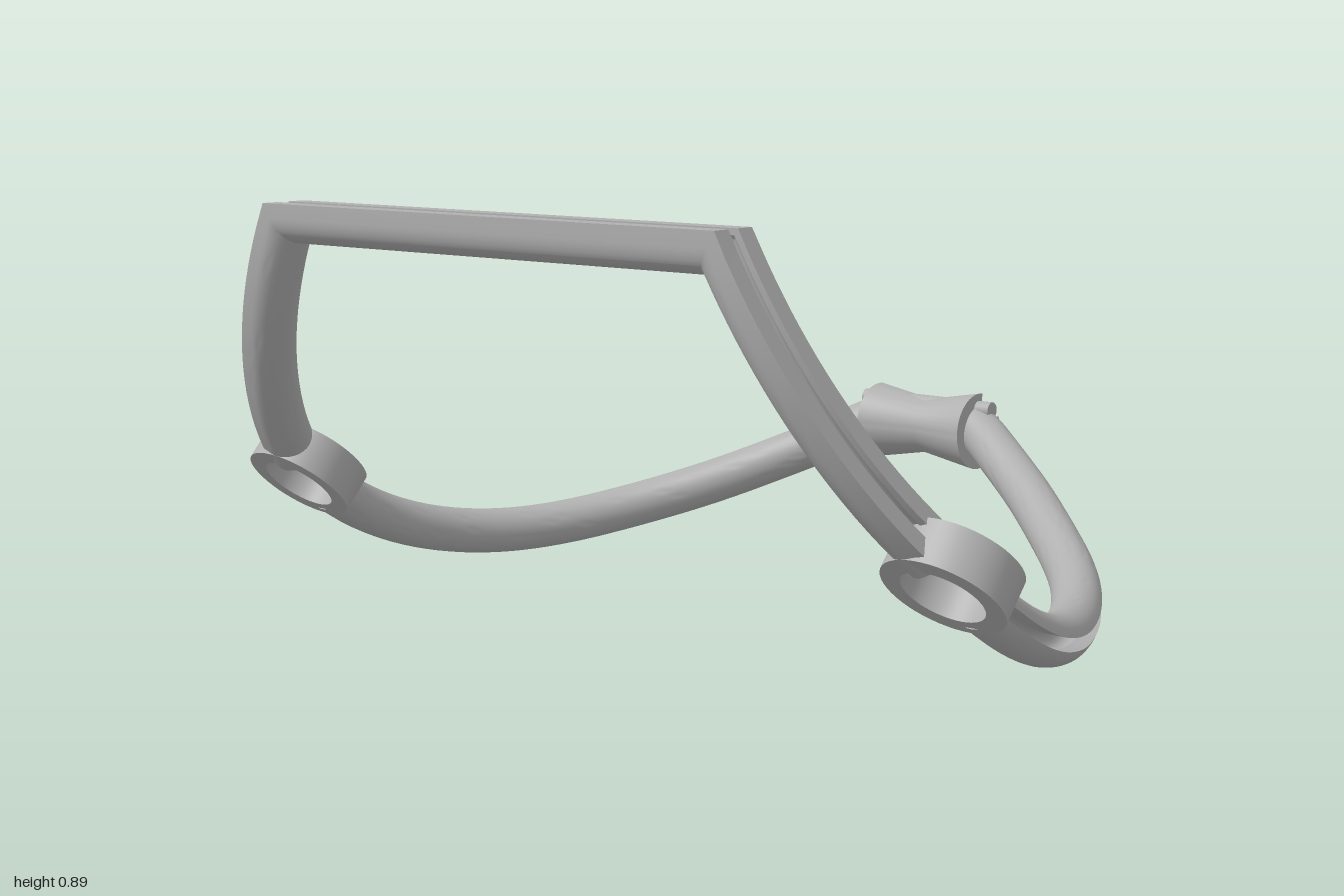
import * as THREE from 'three';
import { toCreasedNormals } from 'three/addons/utils/BufferGeometryUtils.js';

// The whole frame lies on a cylinder around an axis along x.
const R = 0.845, AXIS_Y = 0.9, AXIS_Z = -0.1;
const CREASE = 0.55;

function arc(r, from, to, n) {
  return Array.from({ length: n + 1 }, (_, i) => {
    const a = THREE.MathUtils.degToRad(from + (to - from) * i / n);
    return new THREE.Vector2(r * Math.cos(a), r * Math.sin(a));
  });
}

// Skin between matching cross-sections (3D rings), with end caps cut from the 2D outline.
function loft(sections, outline) {
  const n = outline.length, pos = [], idx = [];
  sections.forEach(s => s.forEach(p => pos.push(p.x, p.y, p.z)));
  for (let i = 0; i < sections.length - 1; i++) {
    for (let j = 0; j < n; j++) {
      const k = (j + 1) % n, a = i * n + j, b = i * n + k;
      idx.push(a, b, b + n, a, b + n, a + n);
    }
  }
  const last = (sections.length - 1) * n;
  for (const [a, b, c] of THREE.ShapeUtils.triangulateShape(outline, [])) {
    idx.push(a, c, b, last + a, last + b, last + c);
  }
  const g = new THREE.BufferGeometry();
  g.setAttribute('position', new THREE.Float32BufferAttribute(pos, 3));
  g.setIndex(idx);
  return toCreasedNormals(g, CREASE);
}

// Channels with a keyhole slot; +y of the outline points out of the loop.
const W = 0.053, LIP = 0.03, SLOT = 0.0135;
const keyhole = arc(0.022, 52, -232, 12);
// Round-backed with square lips, for the front
const squareChannel = [
  ...arc(W, 180, 360, 18),
  new THREE.Vector2(W, LIP),
  new THREE.Vector2(SLOT, LIP),
  ...keyhole,
  new THREE.Vector2(-SLOT, LIP),
  new THREE.Vector2(-W, LIP),
];
// Fully round, for the rear
const roundChannel = [...arc(W, 105, 435, 32), ...keyhole];

// Sweep a channel along a path of (x, angle) points, mitring the corners.
// twist(m, angle) turns the slot away from the cylinder surface.
function sweepChannel(path, channel, twist) {
  const flat = path.map(([x, t]) => new THREE.Vector2(x, R * t));
  const sections = path.map(([x, t], i) => {
    const dir = k => flat[k + 1].clone().sub(flat[k]).normalize();
    const d0 = dir(Math.max(i - 1, 0));
    const d1 = dir(Math.min(i, path.length - 2));
    const m = d0.clone().add(d1).normalize();
    const stretch = 1 / m.dot(d0);
    const c = Math.cos(t), s = Math.sin(t);
    const out = new THREE.Vector3(m.y, -m.x * s, -m.x * c).multiplyScalar(stretch);
    const normal = new THREE.Vector3(0, -c, s);
    const centre = new THREE.Vector3(x, AXIS_Y - R * c, AXIS_Z + R * s);
    const w = twist(m, t), cw = Math.cos(w), sw = Math.sin(w);
    return channel.map(p => centre.clone()
      .addScaledVector(normal, p.x * cw + p.y * sw)
      .addScaledVector(out, p.y * cw - p.x * sw));
  });
  return loft(sections, channel);
}

const mirrored = path => path.map(([x, t]) => [-x, t]).reverse();

export function createModel() {
  const group = new THREE.Group();
  const grey = new THREE.MeshStandardMaterial({ color: 0xb0b0b0 });
  grey.name = 'grey';
  const add = (name, geometry) => {
    const mesh = new THREE.Mesh(geometry, grey);
    mesh.name = name;
    group.add(mesh);
    return mesh;
  };

  // Front bar with its two sloping arms; the slot faces straight out sideways
  const arm = [];
  for (let i = 0; i <= 20; i++) {
    const y = 0.318 + (0.865 - 0.318) * i / 20;
    arm.push([0.58 + (0.865 - y) * 0.517, Math.acos((AXIS_Y - y) / R)]);
  }
  add('frontBar', sweepChannel([...arm, ...mirrored(arm)], squareChannel,
    (m, t) => Math.atan(m.x / Math.tan(t))));

  // Rear arcs from the clasp to the side rings, laid out as seen from above (x, z)
  const plan = new THREE.SplineCurve([
    [0.1, -0.727], [0.2, -0.685], [0.4, -0.56], [0.6, -0.385], [0.72, -0.22],
    [0.81, -0.02], [0.865, 0.17], [0.885, 0.3], [0.885, 0.39],
  ].map(([x, z]) => new THREE.Vector2(x, z)));
  const rear = plan.getSpacedPoints(48).map(p => [p.x, Math.asin((p.y - AXIS_Z) / R)]);
  const rearTwist = m => 0.5 * m.x * m.x;
  add('leftRearArc', sweepChannel(rear, roundChannel, rearTwist));
  add('rightRearArc', sweepChannel(mirrored(rear), roundChannel, rearTwist));

  // Side rings, lying in the curved surface
  const tilt = THREE.MathUtils.degToRad(42);
  const h = 0.045, ro = 0.1225, ri = 0.083;
  const ringProfile = [[ri, -h], [ro, -h], [ro, h], [ri, h], [ri, -h]]
    .map(([r, y]) => new THREE.Vector2(r, y));
  const ringGeometry = toCreasedNormals(new THREE.LatheGeometry(ringProfile, 48), CREASE);
  for (const side of [1, -1]) {
    const ring = add(side > 0 ? 'leftRing' : 'rightRing', ringGeometry);
    ring.position.set(side * 0.875, AXIS_Y - R * Math.cos(tilt), AXIS_Z + R * Math.sin(tilt));
    ring.rotation.x = -tilt;
  }

  // Waisted clasp with a wedge cut away at the upper back
  const claspOutline = r => [...arc(r, -10, 287, 40), ...arc(0.035, 287, -10, 24)];
  const claspSections = [[-0.145, 0.09], [0, 0.064], [0.145, 0.09]].map(([x, r]) =>
    claspOutline(r).map(p => new THREE.Vector3(x, p.x, p.y)));
  add('clasp', loft(claspSections, claspOutline(0.09))).position.set(0, 0.312, -0.714);

  // Pin through the clasp
  const pin = add('claspPin', new THREE.CylinderGeometry(0.02, 0.02, 0.365, 24));
  pin.rotation.z = Math.PI / 2;
  pin.position.set(0, 0.365, -0.714);

  return group;
}
